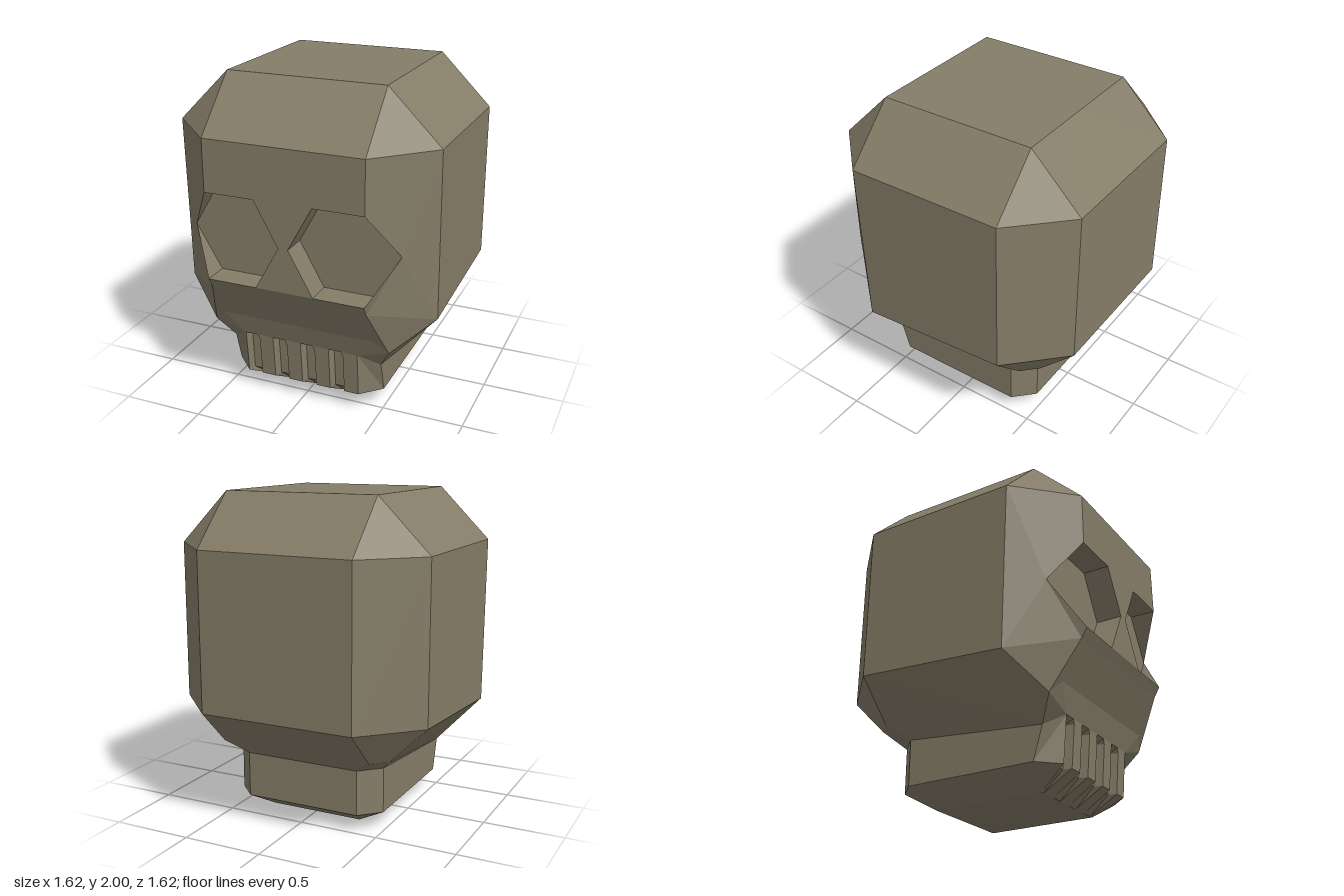
import * as THREE from 'three';

const material = new THREE.MeshStandardMaterial({ color: 0x857d68, flatShading: true });
const v = (x, y, z) => new THREE.Vector3(x, y, z);

function meshFrom(name, triangles) {
  const geometry = new THREE.BufferGeometry().setFromPoints(triangles);
  geometry.computeVertexNormals();
  const mesh = new THREE.Mesh(geometry, material);
  mesh.name = name;
  return mesh;
}

// Fans each polygon, mirrors it in x, and turns it away from (or toward) a reference point
function mirroredFaces(name, faces, ref, inward = false) {
  const out = [];
  for (const side of [1, -1]) {
    const flip = (p) => v(p.x * side, p.y, p.z);
    const centre = flip(ref);
    for (const face of faces) {
      const p = face.map(flip);
      for (let i = 1; i < p.length - 1; i++) {
        const [a, b, c] = [p[0], p[i], p[i + 1]];
        const normal = b.clone().sub(a).cross(c.clone().sub(a));
        const away = a.clone().add(b).add(c).divideScalar(3).sub(centre);
        if ((normal.dot(away) > 0) !== inward) out.push(a, b, c);
        else out.push(a, c, b);
      }
    }
  }
  return meshFrom(name, out);
}

export function createModel() {
  const group = new THREE.Group();
  group.name = 'skull';
  const middle = (p) => v(0, p.y, p.z);
  const interior = v(0, 1, 0);

  // Crown and upper wall corners (left half)
  const topF = v(0.49, 2, 0.49), topB = v(0.49, 2, -0.49);
  const frontTop = v(0.49, 1.68, 0.81), sideTopF = v(0.81, 1.68, 0.49);
  const sideTopB = v(0.81, 1.68, -0.49), backTop = v(0.49, 1.68, -0.81);
  // Lower wall corners
  const sideLowF = v(0.81, 0.65, 0.46), sideLowB = v(0.81, 0.71, -0.49);
  const backLow = v(0.49, 0.71, -0.81);
  // Cheek, upper lip and nape
  const brow = v(0.49, 0.82, 0.81), cheekTop = v(0.49, 0.76, 0.775);
  const cheekLow = v(0.49, 0.53, 0.65), cheekTip = v(0.57, 0.45, 0.61);
  const lip = v(0.37, 0.39, 0.605), jawHinge = v(0.49, 0.31, 0.52);
  const napeSide = v(0.583, 0.483, -0.49), napeBack = v(0.49, 0.483, -0.583);
  const jawSideB = v(0.49, 0.39, -0.37), jawBack = v(0.37, 0.39, -0.49);
  // Eye opening
  const eyeOut = v(0.65, 1.09, 0.65), eyeIn = v(0.03, 1.09, 0.81);
  const eyeTopOut = v(0.49, 1.36, 0.81), eyeTopIn = v(0.18, 1.36, 0.81);
  const eyeLowIn = v(0.18, 0.82, 0.81);

  group.add(mirroredFaces('cranium', [
    // Crown with bevels
    [middle(topF), topF, topB, middle(topB)],
    [middle(topF), topF, frontTop, middle(frontTop)],
    [middle(topB), topB, backTop, middle(backTop)],
    [topF, topB, sideTopB, sideTopF],
    [topF, frontTop, sideTopF],
    [topB, backTop, sideTopB],
    // Walls
    [sideTopF, sideTopB, sideLowB, sideLowF],
    [sideTopB, backTop, backLow, sideLowB],
    [middle(backTop), backTop, backLow, middle(backLow)],
    // Face around the eye opening
    [middle(frontTop), frontTop, eyeTopOut, eyeTopIn, middle(eyeTopIn)],
    [eyeIn, eyeTopIn, middle(eyeTopIn), middle(eyeLowIn), eyeLowIn],
    [eyeOut, eyeTopOut, frontTop, sideTopF, sideLowF, cheekTop, brow],
    // Cheeks and upper lip
    [middle(brow), brow, cheekTop, middle(cheekTop)],
    [middle(cheekTop), cheekTop, cheekLow, middle(cheekLow)],
    [middle(cheekLow), cheekLow, lip, middle(lip)],
    [cheekTop, sideLowF, cheekTip, cheekLow],
    [cheekLow, cheekTip, lip],
    [cheekTip, jawHinge, lip],
    [sideLowF, jawHinge, cheekTip],
    // Underside
    [jawHinge, sideLowF, sideLowB, napeSide, jawSideB],
    [sideLowB, backLow, napeBack, napeSide],
    [napeSide, napeBack, jawBack, jawSideB],
    [middle(backLow), backLow, napeBack, jawBack, middle(jawBack)],
  ], interior));

  // Eye sockets: hexagonal floor and straight walls
  const floor = (p) => v(p.x, p.y, 0.65);
  const rim = [eyeOut, eyeTopOut, eyeTopIn, eyeIn, eyeLowIn, brow];
  group.add(mirroredFaces('eyeSocketFloors', [rim.map(floor)], interior));
  const walls = [];
  for (let i = 1; i < 5; i++) walls.push([rim[i], rim[i + 1], floor(rim[i + 1]), floor(rim[i])]);
  walls.push([eyeTopOut, eyeOut, floor(eyeTopOut)], [brow, eyeOut, floor(brow)]);
  group.add(mirroredFaces('eyeSocketWalls', walls, v(0.34, 1.09, 0.73), true));

  // Jaw with tapered base
  const rimSideF = v(0.49, 0.11, 0.46), rimSideB = v(0.49, 0.11, -0.37);
  const rimBack = v(0.37, 0.11, -0.49), rimFront = v(0.37, 0.11, 0.58);
  const baseF = v(0.3, 0, 0.4), baseB = v(0.3, 0, -0.3);
  group.add(mirroredFaces('jaw', [
    [lip, jawHinge, rimSideF, rimFront],
    [jawHinge, jawSideB, rimSideB, rimSideF],
    [jawSideB, jawBack, rimBack, rimSideB],
    [middle(jawBack), jawBack, rimBack, middle(rimBack)],
    [rimFront, rimSideF, baseF],
    [rimSideF, rimSideB, baseB, baseF],
    [rimSideB, rimBack, baseB],
    [middle(rimBack), rimBack, baseB, middle(baseB)],
    [middle(baseF), baseF, baseB, middle(baseB)],
  ], interior));

  // Teeth: raised and recessed profiles alternating across the jaw front
  const toothProfile = [[0.39, 0.605], [0.36, 0.602], [0.11, 0.58], [0, 0.4]];
  const gapProfile = [[0.39, 0.605], [0.36, 0.55], [0.11, 0.53], [0, 0.4]];
  const columns = [];
  const addColumn = (x, profile) => columns.push(profile.map(([y, z]) =>
    v(y === 0 ? THREE.MathUtils.clamp(x, -0.3, 0.3) : x, y, z)));
  for (const x of [-0.37, -0.185, 0, 0.185]) {
    addColumn(x, toothProfile);
    addColumn(x + 0.015, gapProfile);
    addColumn(x + 0.078, gapProfile);
    addColumn(x + 0.093, toothProfile);
  }
  addColumn(0.37, toothProfile);
  const teeth = [];
  for (let i = 0; i < columns.length - 1; i++) {
    for (let j = 0; j < 3; j++) {
      const a = columns[i][j], b = columns[i][j + 1];
      const c = columns[i + 1][j + 1], d = columns[i + 1][j];
      teeth.push(a, b, c, a, c, d);
    }
  }
  group.add(meshFrom('teeth', teeth));

  return group;
}
